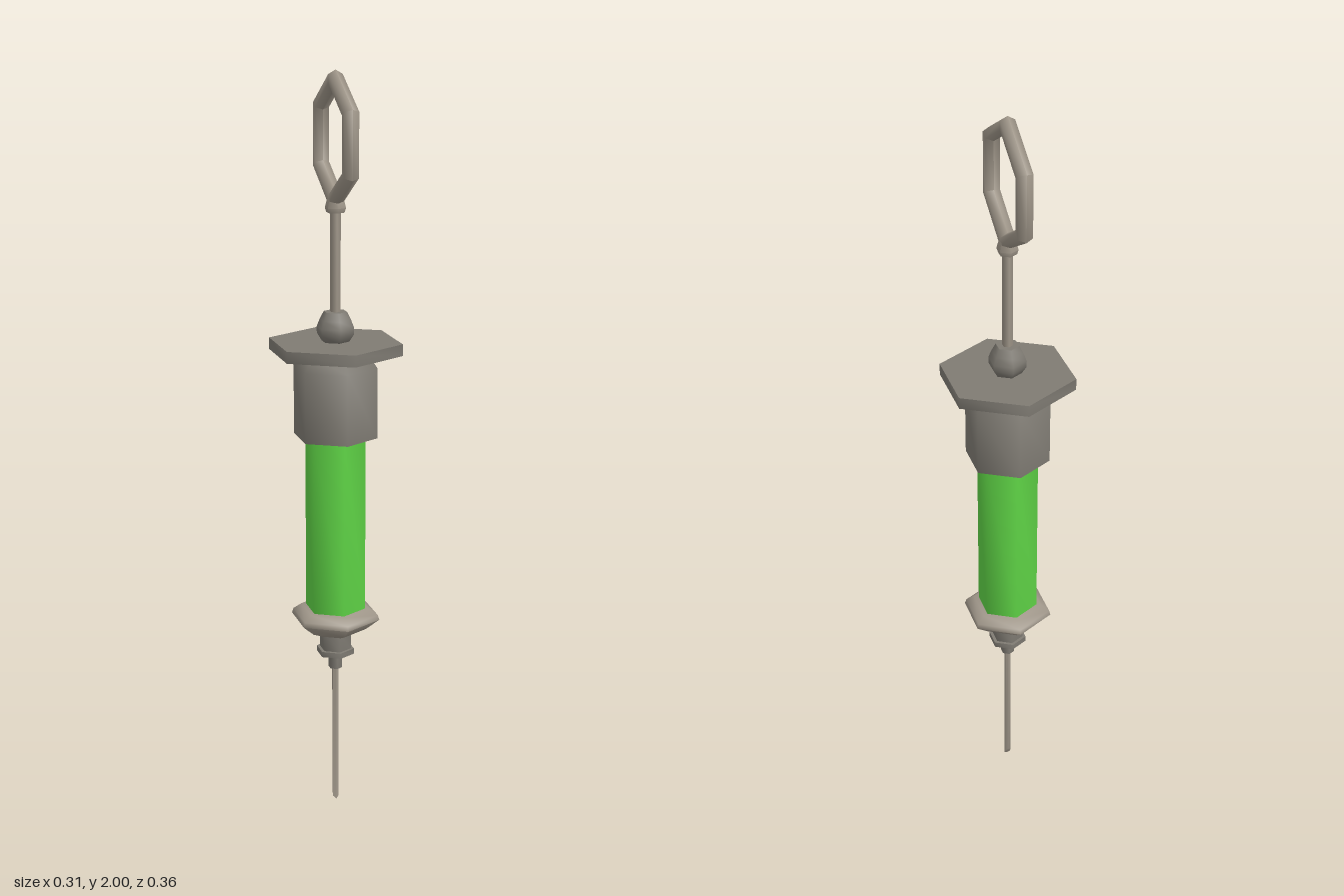
import * as THREE from 'three';
import { toCreasedNormals } from 'three/addons/utils/BufferGeometryUtils.js';

const material = (name, color) => {
  const m = new THREE.MeshStandardMaterial({ color });
  m.name = name;
  return m;
};

export function createModel() {
  const group = new THREE.Group();
  const lightMetal = material('light metal', 0xa0978a);
  const darkMetal = material('dark metal', 0x7f7b73);
  const fluid = material('green fluid', 0x5fd446);

  const add = (name, geometry, mat) => {
    const mesh = new THREE.Mesh(toCreasedNormals(geometry, THREE.MathUtils.degToRad(65)), mat);
    mesh.name = name;
    group.add(mesh);
    return mesh;
  };

  // Six-sided turned part, profile of [radius, y] from bottom to top, closed at both ends
  const turned = (name, profile, mat) => {
    const pts = [[0, profile[0][1]], ...profile, [0, profile[profile.length - 1][1]]];
    return add(name, new THREE.LatheGeometry(pts.map(([r, y]) => new THREE.Vector2(r, y)), 6), mat);
  };

  // Needle with a slanted tip, longest at the front
  const needle = new THREE.CylinderGeometry(0.009, 0.009, 0.4, 6);
  needle.translate(0, 0.2, 0);
  const p = needle.attributes.position;
  for (let i = 0; i < p.count; i++) {
    if (p.getY(i) < 0.1) p.setY(i, (0.009 - p.getZ(i)) * 1.7);
  }
  add('needle', needle, lightMetal);

  // Needle hub
  turned('needleSocket', [[0.019, 0.395], [0.019, 0.442]], darkMetal);
  turned('hubFlange', [[0.052, 0.438], [0.052, 0.453]], darkMetal);
  turned('hubNeck', [[0.043, 0.453], [0.043, 0.505]], darkMetal);
  turned('lowerCollar',
    [[0.05, 0.497], [0.085, 0.513], [0.122, 0.543], [0.118, 0.556], [0.095, 0.572]], lightMetal);

  // Barrel and its cap
  turned('barrel', [[0.082, 0.565], [0.082, 1.06]], fluid);
  turned('upperCap', [[0.113, 1.052], [0.113, 1.24], [0.086, 1.279]], darkMetal);
  turned('fingerFlange', [[0.179, 1.277], [0.179, 1.308]], darkMetal);

  // Plunger
  turned('plungerKnob',
    [[0.036, 1.306], [0.05, 1.328], [0.05, 1.345], [0.042, 1.365], [0.031, 1.386]], darkMetal);
  turned('plungerRod', [[0.014, 1.38], [0.014, 1.66]], lightMetal);
  turned('ringCollar', [[0.024, 1.643], [0.028, 1.655], [0.02, 1.685]], lightMetal);

  // Hexagonal pull ring standing in the side plane, corner up
  const ring = new THREE.TorusGeometry(0.151, 0.022, 6, 6);
  ring.rotateZ(Math.PI / 2);
  ring.rotateY(Math.PI / 2);
  ring.translate(0, 1.827, 0);
  add('pullRing', ring, lightMetal);

  return group;
}
